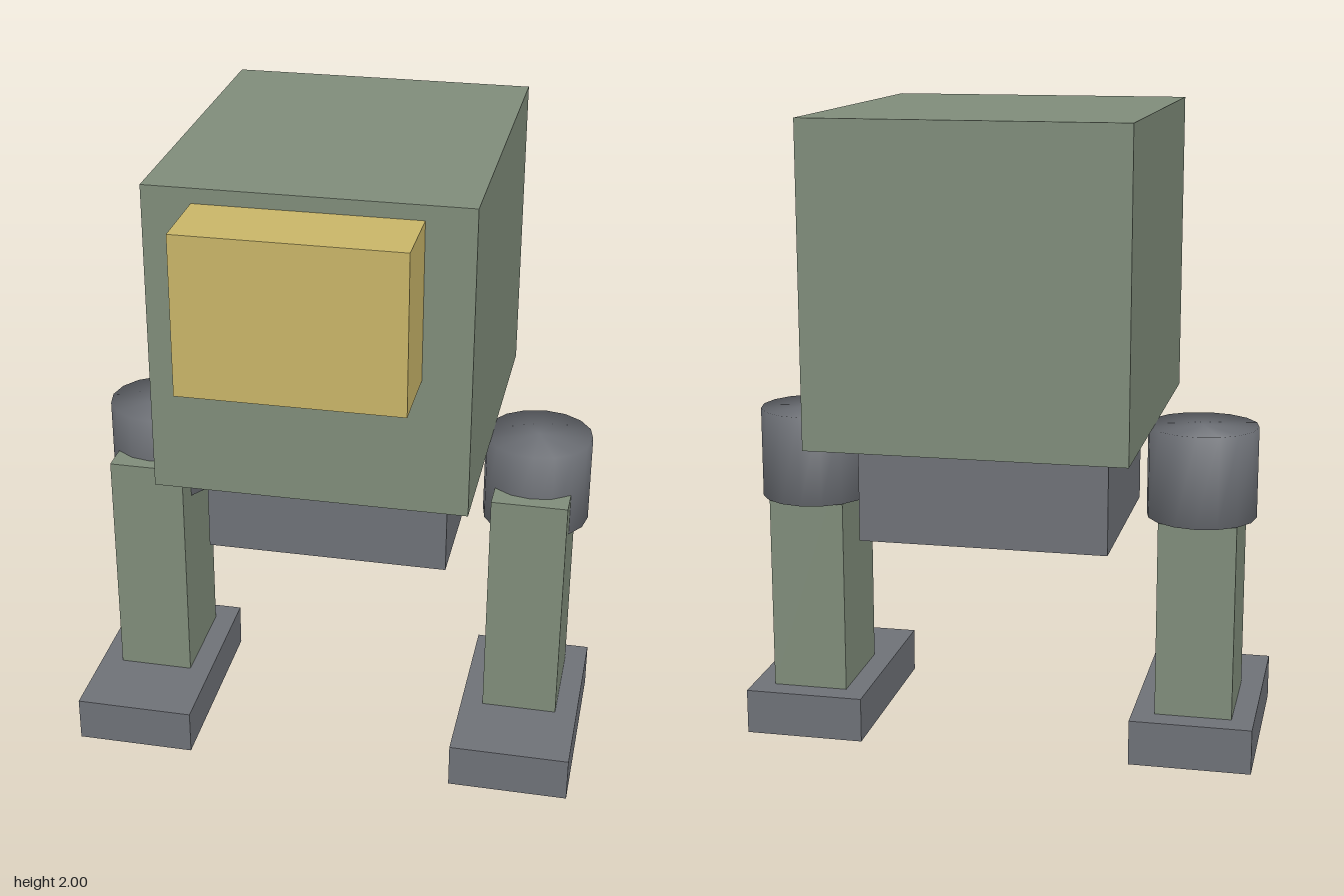
import * as THREE from 'three';
import { mergeVertices } from 'three/addons/utils/BufferGeometryUtils.js';

const paint = (name, color) => {
  const m = new THREE.MeshStandardMaterial({ color });
  m.name = name;
  return m;
};

export function createModel() {
  const green = paint('sage green', 0x7f8c7a);
  const grey = paint('steel grey', 0x6e7177);
  const yellow = paint('sand yellow', 0xc8b568);

  const model = new THREE.Group();
  model.name = 'walker';

  // Box given by its lowest and highest corners
  const box = (parent, name, material, min, max) => {
    const size = max.map((v, i) => v - min[i]);
    const mesh = new THREE.Mesh(new THREE.BoxGeometry(...size), material);
    mesh.position.set(...max.map((v, i) => (v + min[i]) / 2));
    mesh.name = name;
    parent.add(mesh);
  };

  // Cabin, window block and hips
  box(model, 'cabin', green, [-0.475, 1.05, -0.69], [0.475, 2, 0.45]);
  box(model, 'windowBlock', yellow, [-0.33, 1.475, 0.45], [0.33, 1.955, 0.69]);
  box(model, 'hips', grey, [-0.38, 0.715, -0.45], [0.38, 1.05, 0.215]);

  // Hip joint: cylinder with normals smoothed over the rim
  let joint = new THREE.CylinderGeometry(0.17, 0.17, 0.285, 16);
  joint.deleteAttribute('normal');
  joint.deleteAttribute('uv');
  joint = mergeVertices(joint);
  joint.computeVertexNormals();

  // Legs
  for (const side of [-1, 1]) {
    const leg = new THREE.Group();
    leg.name = side > 0 ? 'leftLeg' : 'rightLeg';
    leg.position.x = side * 0.62;
    box(leg, 'shin', green, [-0.12, 0.143, -0.235], [0.12, 0.905, 0.095]);
    box(leg, 'foot', grey, [-0.19, 0, -0.31], [0.19, 0.143, 0.355]);
    const hipJoint = new THREE.Mesh(joint, grey);
    hipJoint.name = 'hipJoint';
    hipJoint.position.set(0, 0.9065, -0.12);
    leg.add(hipJoint);
    model.add(leg);
  }
  return model;
}
